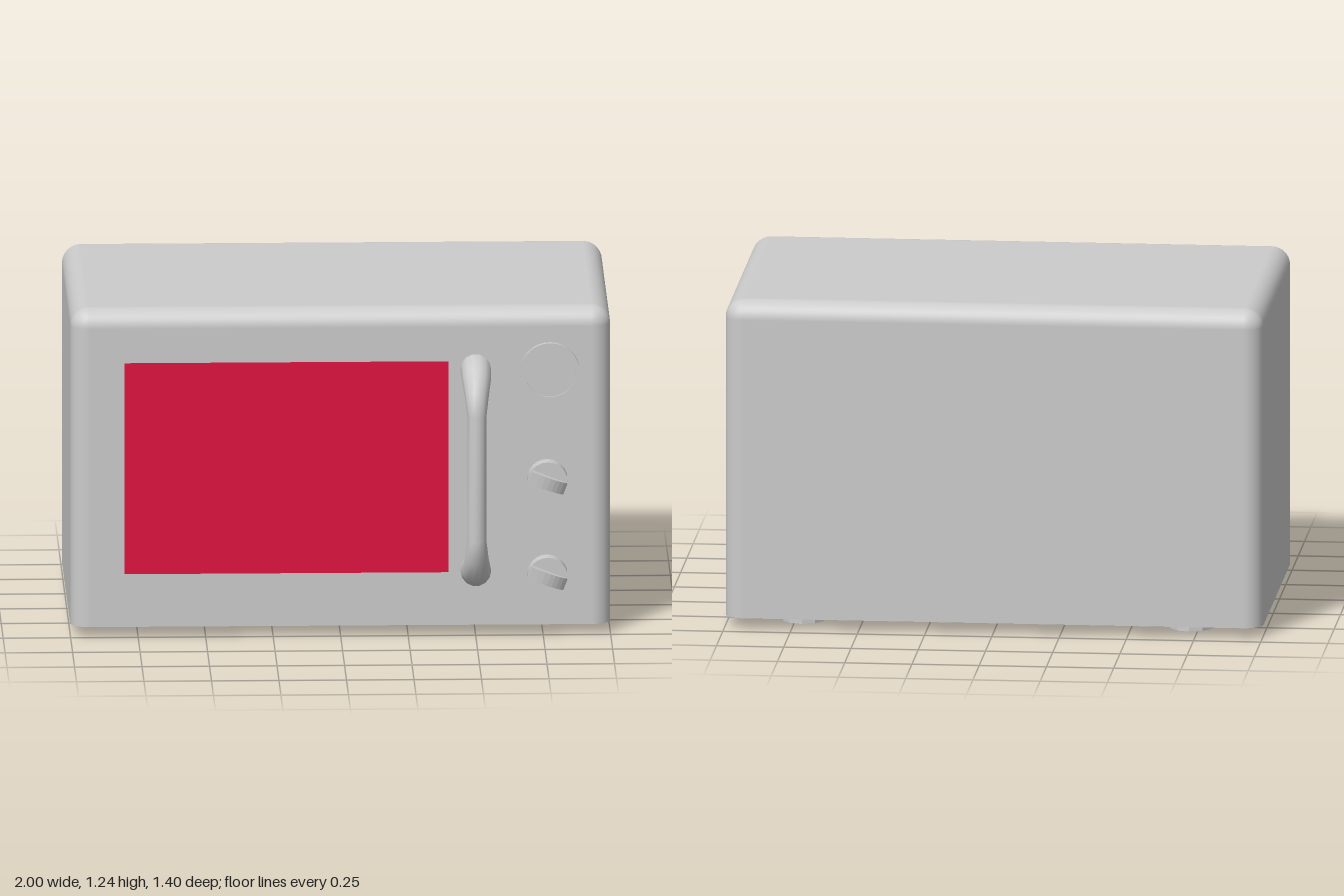
import * as THREE from 'three';
import { RoundedBoxGeometry } from 'three/addons/geometries/RoundedBoxGeometry.js';

const grey = new THREE.MeshStandardMaterial({ color: 0xcccccc });
const flatGrey = new THREE.MeshStandardMaterial({ color: 0xcccccc, flatShading: true });
const red = new THREE.MeshStandardMaterial({ color: 0xe01040 });

function add(parent, name, geometry, material, x = 0, y = 0, z = 0) {
  const mesh = new THREE.Mesh(geometry, material);
  mesh.name = name;
  mesh.position.set(x, y, z);
  parent.add(mesh);
  return mesh;
}

// Rounded box with its lower half flattened into a sharp-edged base at y = 0
function bodyGeometry(width, height, depth, radius) {
  const geo = new RoundedBoxGeometry(width, height * 2, depth, 4, radius);
  const pos = geo.attributes.position, nor = geo.attributes.normal;
  for (let i = 0; i < pos.count; i += 3) {
    const corners = [i, i + 1, i + 2];
    const isBase = corners.every((k) => pos.getY(k) < 0);
    for (const k of corners) {
      pos.setY(k, Math.max(0, pos.getY(k)));
      if (isBase) nor.setXYZ(k, 0, -1, 0);
    }
  }
  return geo;
}

// Tube through [y, z, radius] stations lying in the plane x = 0
function taperedTube(stations, sides) {
  const verts = [], index = [];
  stations.forEach(([y, z, r], i) => {
    const a = stations[Math.max(i - 1, 0)], b = stations[Math.min(i + 1, stations.length - 1)];
    const len = Math.hypot(b[0] - a[0], b[1] - a[1]);
    const ny = -(b[1] - a[1]) / len, nz = (b[0] - a[0]) / len;
    for (let j = 0; j < sides; j++) {
      const t = (j / sides) * Math.PI * 2;
      verts.push(r * Math.cos(t), y + ny * r * Math.sin(t), z + nz * r * Math.sin(t));
      if (i === 0) continue;
      const k = (j + 1) % sides, p = (i - 1) * sides, q = i * sides;
      index.push(p + j, q + j, p + k, p + k, q + j, q + k);
    }
  });
  const geo = new THREE.BufferGeometry();
  geo.setAttribute('position', new THREE.Float32BufferAttribute(verts, 3));
  geo.setIndex(index);
  geo.computeVertexNormals();
  return geo;
}

// Round dial with a slanted grip that curves down from one end
function createKnob(name, y) {
  const knob = new THREE.Group();
  knob.name = name;
  knob.position.set(0.765, y, 0.5);
  const dial = new THREE.CylinderGeometry(0.075, 0.075, 0.06, 24).rotateX(Math.PI / 2);
  add(knob, 'dial', dial, grey, 0, 0, 0.03);

  const profile = new THREE.Shape();
  profile.moveTo(-0.071, 0);
  profile.lineTo(0.071, 0);
  profile.quadraticCurveTo(0.03, 0.04, -0.04, 0.04);
  profile.lineTo(-0.071, 0.04);
  const grip = new THREE.ExtrudeGeometry(profile, { depth: 0.046, bevelEnabled: false, curveSegments: 6 });
  grip.translate(0, 0, -0.023).rotateX(Math.PI / 2).rotateZ(-0.38);
  add(knob, 'grip', grip, grey, 0, 0, 0.06);
  return knob;
}

export function createModel() {
  const model = new THREE.Group();
  model.name = 'microwaveOven';

  add(model, 'body', bodyGeometry(2, 1.2, 1.2, 0.07), grey, 0, 0.04, -0.1);
  add(model, 'window', new THREE.PlaneGeometry(1.2, 0.8), red, -0.2, 0.64, 0.501);

  // Door handle, mirrored about its mid height and thicker at both ends
  const half = [[0.38, 0.49, 0.057], [0.38, 0.525, 0.057], [0.36, 0.595, 0.054],
    [0.305, 0.648, 0.044], [0.235, 0.665, 0.035]];
  const lower = half.map(([y, z, r]) => [-y, z, r]);
  const upper = half.slice().reverse();
  add(model, 'handle', taperedTube([...lower, ...upper], 14), grey, 0.5, 0.63, 0);

  // Round display with a raised rim
  const rim = [[0, 0.012], [0.094, 0.012], [0.094, 0.012], [0.094, 0.02], [0.094, 0.02],
    [0.11, 0.02], [0.11, 0.02], [0.11, 0]].map(([r, h]) => new THREE.Vector2(r, h)).reverse();
  const display = new THREE.LatheGeometry(rim, 32).rotateX(Math.PI / 2);
  add(model, 'display', display, grey, 0.775, 1, 0.5);

  model.add(createKnob('upperKnob', 0.592), createKnob('lowerKnob', 0.23));

  // Four feet
  for (const x of [-0.72, 0.72]) {
    for (const z of [0.12, -0.515]) {
      add(model, 'foot', new THREE.CylinderGeometry(0.08, 0.08, 0.05, 10), flatGrey, x, 0.025, z);
    }
  }
  return model;
}
